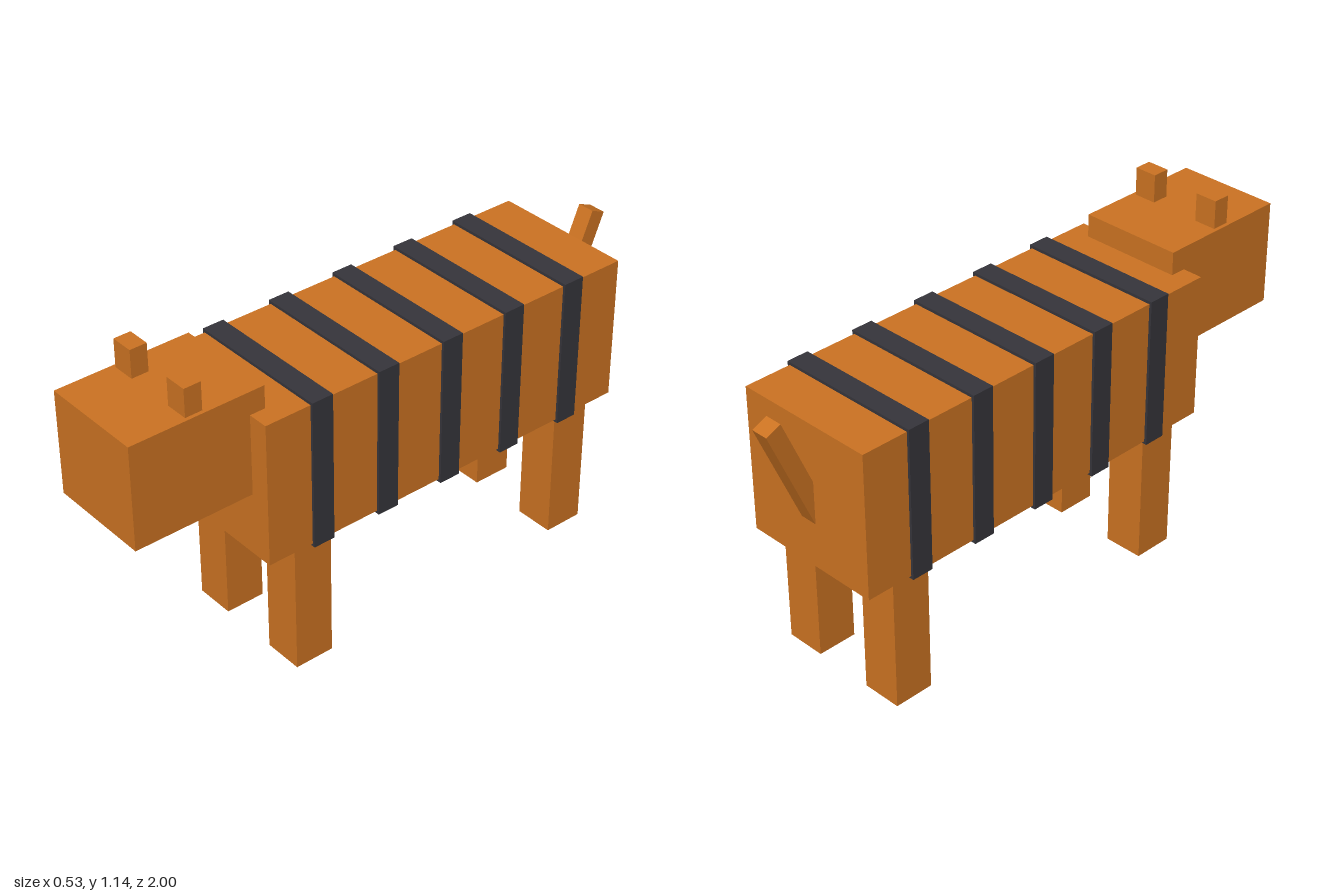
import * as THREE from 'three';

const orange = new THREE.MeshStandardMaterial({ color: 0xcc7322 });
orange.name = 'orange fur';
const charcoal = new THREE.MeshStandardMaterial({ color: 0x36353b });
charcoal.name = 'charcoal stripe';

export function createModel() {
  const model = new THREE.Group();
  model.name = 'stripedAnimal';

  // Box given by its size and centre
  const box = (name, material, [w, h, d], [x, y, z]) => {
    const mesh = new THREE.Mesh(new THREE.BoxGeometry(w, h, d), material);
    mesh.name = name;
    mesh.position.set(x, y, z);
    model.add(mesh);
    return mesh;
  };

  // Body and head
  box('body', orange, [0.508, 0.505, 1.422], [0, 0.7125, -0.131]);
  box('head', orange, [0.364, 0.362, 0.475], [0, 0.864, 0.7625]);

  // Bands wrapped around the body
  for (let i = 0; i < 5; i++) {
    box('stripe' + (i + 1), charcoal, [0.526, 0.525, 0.077], [0, 0.7125, 0.377 - i * 0.2535]);
  }

  // Mirrored ears and legs
  for (const [side, s] of [['left', 1], ['right', -1]]) {
    box(side + 'Ear', orange, [0.08, 0.118, 0.06], [s * 0.129, 1.084, 0.766]);
    box(side + 'FrontLeg', orange, [0.14, 0.46, 0.14], [s * 0.177, 0.23, 0.41]);
    box(side + 'BackLeg', orange, [0.14, 0.46, 0.14], [s * 0.177, 0.23, -0.672]);
  }

  // Raised tail, leaning back out of the rump
  const tail = box('tail', orange, [0.061, 0.45, 0.058], [0, 0.793, -0.885]);
  tail.rotation.x = -0.4;

  return model;
}
